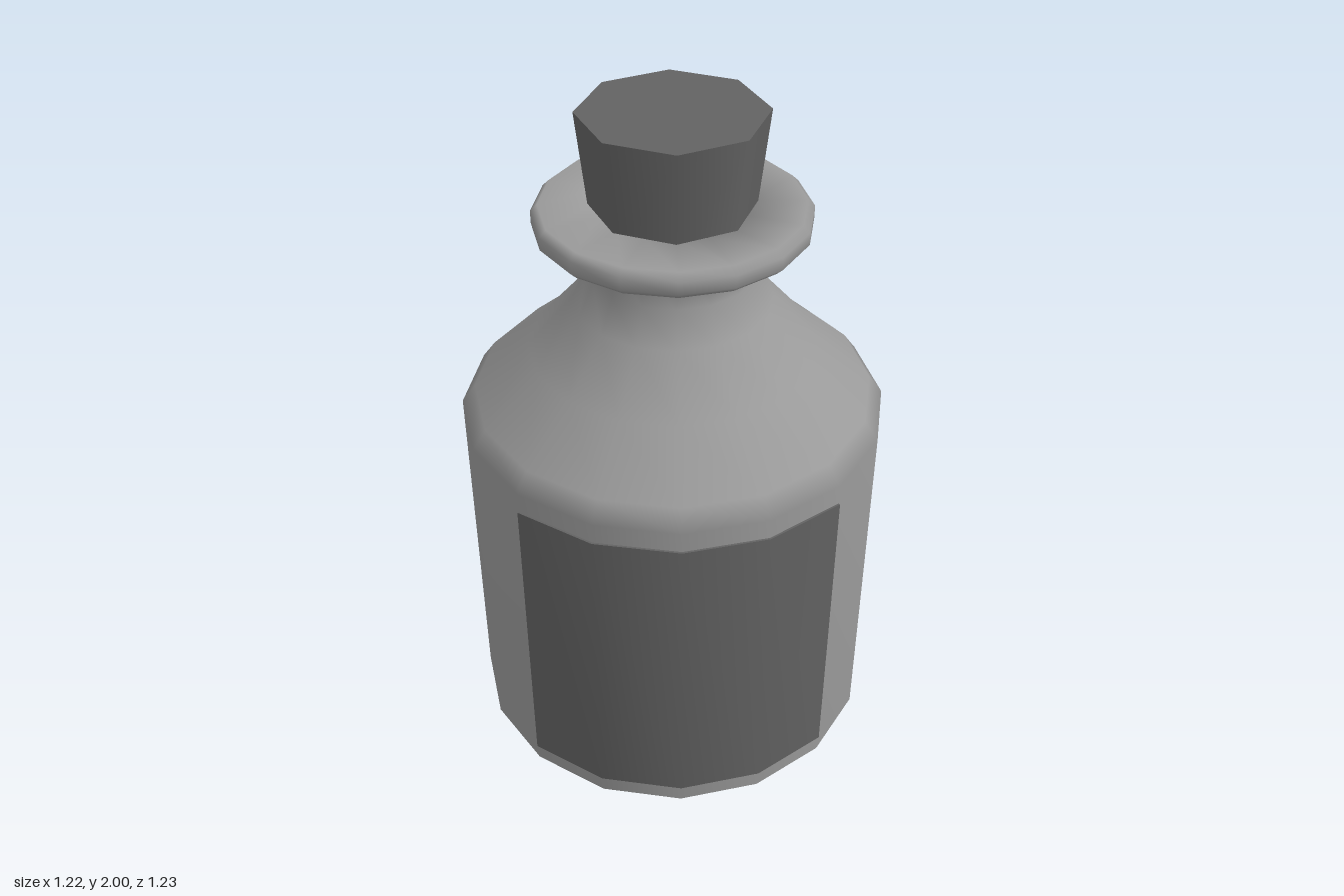
import * as THREE from 'three';
import { toCreasedNormals } from 'three/addons/utils/BufferGeometryUtils.js';

const SIDES = 16;

// Curved slab covering the front quarter, its facets in line with the bottle's
function labelGeometry(inner, outer, height) {
  const arc = (r) => Array.from({ length: 5 }, (_, i) => {
    const a = -Math.PI / 4 + (i * 2 * Math.PI) / SIDES;
    return new THREE.Vector2(r * Math.sin(a), -r * Math.cos(a));
  });
  const shape = new THREE.Shape([...arc(outer), ...arc(inner).reverse()]);
  const slab = new THREE.ExtrudeGeometry(shape, { depth: height, bevelEnabled: false });
  return toCreasedNormals(slab.rotateX(-Math.PI / 2), 0.5);
}

export function createModel() {
  const group = new THREE.Group();
  const glass = new THREE.MeshStandardMaterial({ color: 0x9a9a9a });
  const dark = new THREE.MeshStandardMaterial({ color: 0x636363 });

  const add = (name, geometry, material, y) => {
    const mesh = new THREE.Mesh(geometry, material);
    mesh.name = name;
    mesh.position.set(0, y, -0.003);
    group.add(mesh);
  };

  // Bottle: bevelled base, straight wall, shoulder, neck and rounded lip
  const profile = [
    [0, 0], [0.575, 0.004], [0.61, 0.045],
    [0.61, 1.105], [0.57, 1.16], [0.41, 1.3], [0.28, 1.45], [0.235, 1.55],
    [0.231, 1.665], [0.36, 1.665], [0.379, 1.684], [0.379, 1.72],
    [0.36, 1.739], [0.21, 1.739], [0.2, 1.6],
  ].map(([r, y]) => new THREE.Vector2(r, y));
  add('bottle', new THREE.LatheGeometry(profile, SIDES), glass, 0);

  // Tapered eight-sided stopper
  add('stopper', new THREE.CylinderGeometry(0.255, 0.218, 0.34, 8), dark, 1.83);

  // Label wrapped around the front
  add('label', labelGeometry(0.606, 0.616, 0.945), dark, 0.1);

  return group;
}
